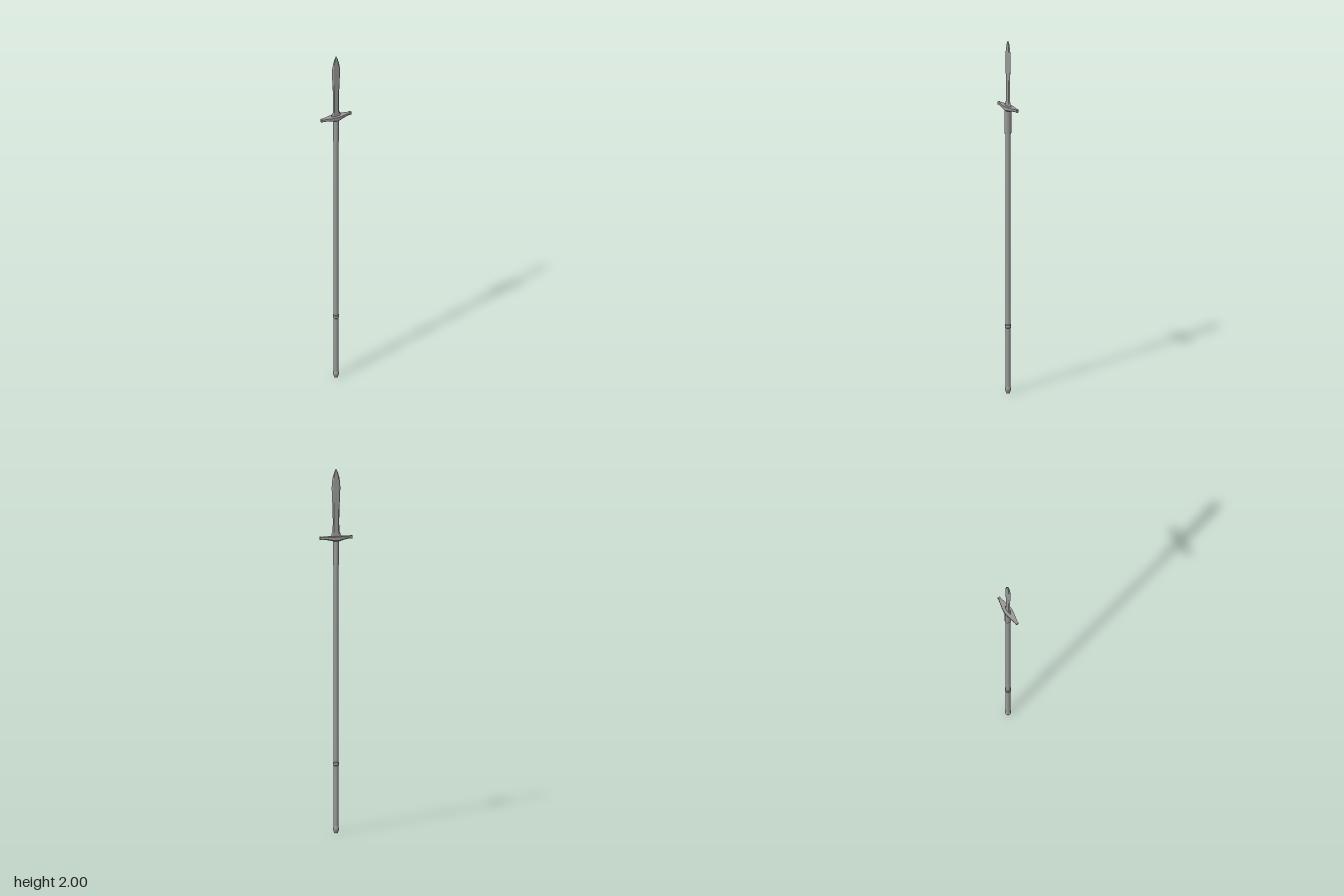
import * as THREE from 'three';

const material = new THREE.MeshStandardMaterial({ color: 0x999999, flatShading: true });
const smooth = new THREE.MeshStandardMaterial({ color: 0x999999 });

// Skin a row of equal-sized rings (counter-clockwise seen from the far end) and cap both ends.
function loft(rings) {
  const n = rings[0].length, index = [];
  for (let r = 0; r < rings.length - 1; r++) {
    for (let i = 0; i < n; i++) {
      const a = r * n + i, b = r * n + (i + 1) % n;
      index.push(a, b, b + n, a, b + n, a + n);
    }
  }
  const last = (rings.length - 1) * n;
  for (let i = 1; i < n - 1; i++) {
    index.push(0, i + 1, i, last, last + i, last + i + 1);
  }
  const g = new THREE.BufferGeometry();
  g.setAttribute('position', new THREE.Float32BufferAttribute(rings.flat(2), 3));
  g.setIndex(index);
  const flat = g.toNonIndexed();
  flat.computeVertexNormals();
  return flat;
}

function add(group, name, geometry, mat = material) {
  const mesh = new THREE.Mesh(geometry, mat);
  mesh.name = name;
  group.add(mesh);
  return mesh;
}

// Turned part from [radius, height] points
const turned = (points) => new THREE.LatheGeometry(points.map(([r, y]) => new THREE.Vector2(r, y)), 16);

export function createModel() {
  const spear = new THREE.Group();
  spear.name = 'spear';

  // Long wooden pole
  const pole = add(spear, 'shaft', new THREE.CylinderGeometry(0.0135, 0.0135, 1.47, 16), smooth);
  pole.position.y = 0.765;

  // Butt cap and the ring above it
  add(spear, 'buttCap', turned([[0, 0], [0.010, 0], [0.013, 0.010], [0.0165, 0.019], [0.0165, 0.030], [0.0135, 0.037]]));
  add(spear, 'shaftRing', turned([[0.0135, 0.369], [0.0170, 0.373], [0.0170, 0.387], [0.0135, 0.391]]));

  // Slightly oval socket gripping the pole
  const socket = add(spear, 'socket', turned([[0, 1.473], [0.0175, 1.473], [0.0175, 1.612], [0, 1.612]]), smooth);
  socket.geometry = socket.geometry.toNonIndexed();
  socket.geometry.computeVertexNormals();
  socket.scale.set(0.95, 1, 1.05);

  // Flat-topped cross guard: [x, half depth, bottom, top]
  const half = [
    [0, 0.0220, 1.602, 1.629], [0.012, 0.0215, 1.603, 1.629], [0.028, 0.0195, 1.607, 1.629],
    [0.045, 0.0155, 1.611, 1.629], [0.065, 0.0110, 1.614, 1.629], [0.082, 0.0065, 1.615, 1.629],
    [0.082, 0.0070, 1.614, 1.631], [0.092, 0.0070, 1.614, 1.631],
  ];
  const stations = [...half.slice(1).reverse().map(([x, ...rest]) => [-x, ...rest]), ...half];
  add(spear, 'crossGuard', loft(stations.map(([x, d, lo, hi]) => {
    const c = (hi - lo) * 0.25;
    return [
      [x, lo, d * 0.7], [x, lo, -d * 0.7], [x, lo + c, -d],
      [x, hi, -d], [x, hi, d], [x, lo + c, d],
    ];
  })));

  // Blade with bevelled edges: [height, half width, half thickness]
  const blade = [
    [1.625, 0.0270, 0.0055], [1.640, 0.0265, 0.0055], [1.653, 0.0200, 0.0052], [1.70, 0.0180, 0.0050],
    [1.77, 0.0190, 0.0050], [1.84, 0.0225, 0.0050], [1.89, 0.0245, 0.0050], [1.925, 0.0235, 0.0050],
    [1.955, 0.0180, 0.0046], [1.98, 0.0105, 0.0038], [2.0, 0.0008, 0.0006],
  ];
  add(spear, 'blade', loft(blade.map(([y, w, t]) => {
    const m = w * 0.68;
    return [[w, y, 0], [m, y, -t], [-m, y, -t], [-w, y, 0], [-m, y, t], [m, y, t]];
  })));

  return spear;
}
